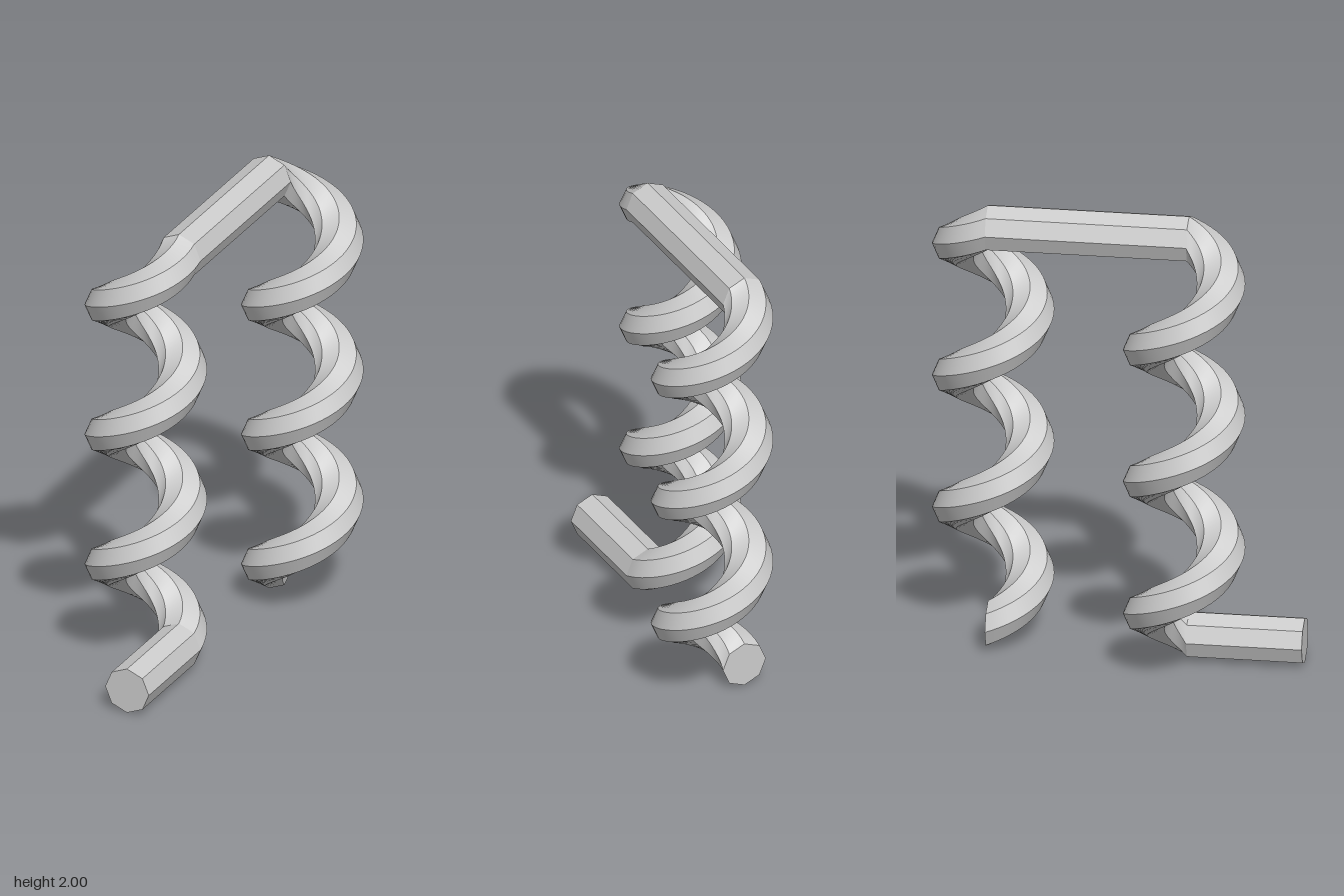
import * as THREE from 'three';

const SIDES = 8, TUBE = 0.101, COIL = 0.154, TURNS = 3, STEPS = 48;
const LOW = TUBE, HIGH = 2 - TUBE, FRONT_Z = 0.307, BACK_Z = -0.538, END_Z = 0.793;
const material = new THREE.MeshStandardMaterial({ color: 0xcccccc });

// Sweep an upright octagon through sections {c: centre, side: horizontal axis}.
// Each facet has its own vertices: sharp across facets, smooth along the path.
function sweep(name, sections, capStart = false, capEnd = false) {
  const pos = [], idx = [];
  const corner = ({ c, side }, j) => {
    const a = (j / SIDES) * Math.PI * 2;
    return c.clone().addScaledVector(side, TUBE * Math.cos(a)).add(new THREE.Vector3(0, TUBE * Math.sin(a), 0)).toArray();
  };
  for (let j = 0; j < SIDES; j++) {
    sections.forEach((s, i) => {
      const b = pos.length / 3;
      pos.push(...corner(s, j), ...corner(s, j + 1));
      if (i < sections.length - 1) idx.push(b, b + 2, b + 1, b + 1, b + 2, b + 3);
    });
  }
  const cap = (s, flip) => {
    const b = pos.length / 3;
    for (let j = 0; j < SIDES; j++) pos.push(...corner(s, j));
    for (let j = 1; j < SIDES - 1; j++) idx.push(b, b + (flip ? j + 1 : j), b + (flip ? j : j + 1));
  };
  if (capStart) cap(sections[0], false);
  if (capEnd) cap(sections[sections.length - 1], true);
  const geo = new THREE.BufferGeometry();
  geo.setAttribute('position', new THREE.Float32BufferAttribute(pos, 3));
  geo.setIndex(idx);
  geo.computeVertexNormals();
  const mesh = new THREE.Mesh(geo, material);
  mesh.name = name;
  return mesh;
}

// Straight run along z at x = 0
function rail(y, z0, z1) {
  return [z0, z1].map(z => ({ c: new THREE.Vector3(0, y, z), side: new THREE.Vector3(1, 0, 0) }));
}

// Screw path leaving (0, y0, z0) towards -z, turning to the side given by k
function coil(k, z0, y0, y1) {
  return Array.from({ length: TURNS * STEPS + 1 }, (_, i) => {
    const t = (i / STEPS) * Math.PI * 2, cos = Math.cos(t), sin = Math.sin(t);
    const y = y0 + (y1 - y0) * i / (TURNS * STEPS);
    return {
      c: new THREE.Vector3(k * COIL * (1 - cos), y, z0 - COIL * sin),
      side: new THREE.Vector3(cos, 0, k * sin),
    };
  });
}

export function createModel() {
  const group = new THREE.Group();
  group.name = 'doubleCoilTube';
  group.add(
    sweep('lowerRail', rail(LOW, END_Z, FRONT_Z), true),
    sweep('frontCoil', coil(-1, FRONT_Z, LOW, HIGH)),
    sweep('upperRail', rail(HIGH, FRONT_Z, BACK_Z)),
    sweep('backCoil', coil(1, BACK_Z, HIGH, LOW), false, true),
  );
  return group;
}
